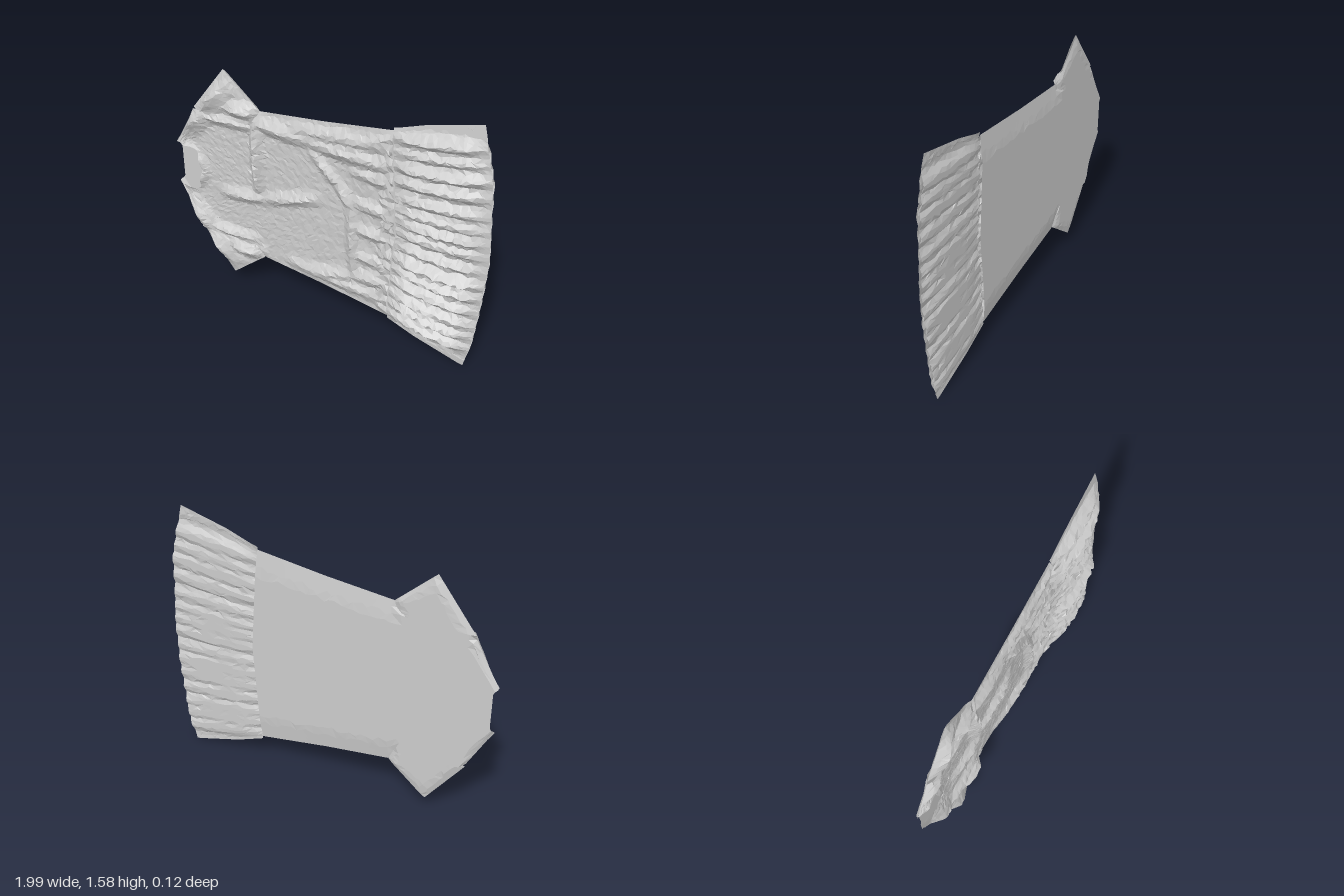
import * as THREE from 'three';

const RIM = -0.038, FLAT = -0.035, BACK = -0.055;
const flip = (y) => 1.58 - y; // the garment mirrors about its lengthwise midline

// Fold lines of the cloth: height, half width, then the points they run through
const centreFolds = [
  [0.06, 0.05, [-0.43, 1.2], [-0.42, 0.78]],
  [0.04, 0.055, [-0.66, 0.68], [-0.38, 0.72], [-0.05, 0.83]],
  [0.037, 0.045, [-0.06, 1.13], [0.1, 0.97], [0.18, 0.85], [0.2, 0.4]],
  [0.04, 0.06, [-0.1, 0.3], [0.2, 0.38], [0.46, 0.42]],
  [0.045, 0.065, [-0.44, 1.22], [-0.1, 1.2], [0.42, 1.18]],
  [0.03, 0.04, [0.1, 1.22], [0.42, 1.37]]
];
const mirroredFolds = [
  [0.035, 0.06, [-0.2, 1.25], [0.42, 1.3]], // side seam
  [0.04, 0.05, [-0.88, 1.17], [-0.46, 1.18]], // sleeve seam
  [0.033, 0.045, [-0.95, 0.94], [-0.84, 0.89], [-0.79, 0.79]], // neckband
  [0.055, 0.09, [-0.9, 1.06], [-0.76, 1.2]], // shoulder
  [0.062, 0.12, [-0.8, 1.22], [-0.63, 1.38]], // sleeve puff
  [0.06, 0.07, [-0.62, 1.27], [-0.43, 1.27]] // underarm
];
// Gathers of the ruffle: start at the waist, height
const gathers = [
  [1.37, 0.06], [1.29, 0.055], [1.21, 0.085], [1.12, 0.07], [1.02, 0.06], [0.94, 0.06], [0.87, 0.07],
  [0.8, 0.065], [0.71, 0.06], [0.63, 0.1], [0.55, 0.085], [0.46, 0.07], [0.37, 0.075], [0.3, 0.08], [0.22, 0.07]
];

const ruffleFolds = gathers.map(([y, h]) => [h, 0.065, [0.42, y], [0.98, 0.79 + (y - 0.79) * 1.15]]);
const crossFolds = [0.53, 0.71, 0.88, 1.08].map((y) => [0.035, 0.05, [0.2, y + 0.01], [0.46, y]]);
// Short puckers on the waist seam
const puckers = Array.from({ length: 22 }, (_, i) => {
  const y = 0.24 + i * 0.051;
  return [0.035 + (i % 2) * 0.012, 0.02, [0.36, y], [0.54, y + (i % 3 - 1) * 0.02]];
});
const folds = [
  ...centreFolds, ...mirroredFolds,
  ...mirroredFolds.map(([h, w, ...pts]) => [h, w, ...pts.map(([x, y]) => [x, flip(y)])]),
  ...ruffleFolds, ...crossFolds, ...puckers
];

function hash(a, b) {
  const s = Math.sin(a * 127.1 + b * 311.7) * 43758.5453;
  return s - Math.floor(s) - 0.5;
}

// Tallest tent-shaped fold over a point
function foldHeight(x, y, list) {
  let best = 0;
  for (const [h, w, ...pts] of list) for (let i = 1; i < pts.length; i++) {
    const [x0, y0] = pts[i - 1], dx = pts[i][0] - x0, dy = pts[i][1] - y0;
    const t = THREE.MathUtils.clamp(((x - x0) * dx + (y - y0) * dy) / (dx * dx + dy * dy), 0, 1);
    const d = Math.hypot(x - x0 - t * dx, y - y0 - t * dy);
    best = Math.max(best, h * (1 - 0.5 * (2 * t - 1) ** 2) * (1 - d / w));
  }
  return best;
}

// Piecewise linear lookup through [position, value] points
function along(points) {
  return (p) => {
    let i = 1;
    while (i < points.length - 1 && p > points[i][0]) i++;
    const [a, va] = points[i - 1], [b, vb] = points[i];
    return va + (vb - va) * THREE.MathUtils.clamp((p - a) / (b - a), 0, 1);
  };
}

// Panel from a left to a right edge, its upper outline mirroring the lower
const between = (left, right, lower) => (u, v) => {
  const x = THREE.MathUtils.lerp(left(v), right(v), u), y = lower(x);
  return [x, THREE.MathUtils.lerp(y, flip(y), v)];
};
const quad = (a, b, c, d) => (u, v) => [0, 1].map((k) =>
  (a[k] * (1 - u) + b[k] * u) * (1 - v) + (c[k] * (1 - u) + d[k] * u) * v);

const material = new THREE.MeshStandardMaterial({ color: 0xcccccc, flatShading: true, side: THREE.DoubleSide });

// Faceted sheet of cloth, slightly shuffled so the facets look crumpled
function panel(name, nu, nv, place, depth, back = false) {
  const pos = [], index = [];
  for (let j = 0; j <= nv; j++) for (let i = 0; i <= nu; i++) {
    const inner = i > 0 && j > 0 && i < nu && j < nv ? 1 : 0;
    const u = (i + inner * 0.7 * hash(i, j)) / nu, v = (j + inner * 0.7 * hash(j + 50, i)) / nv;
    const [x, y] = place(u, v);
    pos.push(x, y, depth(x, y, u, v) + (back ? 0 : inner * 0.005 * hash(i + 9, j + 31)));
    if (i < nu && j < nv) {
      const a = j * (nu + 1) + i, b = a + 1, c = a + nu + 1, d = c + 1;
      const tris = hash(i + 3, j + 7) > 0 ? [a, b, d, a, d, c] : [a, b, c, b, d, c];
      index.push(...(back ? tris.reverse() : tris));
    }
  }
  const geometry = new THREE.BufferGeometry();
  geometry.setAttribute('position', new THREE.Float32BufferAttribute(pos, 3));
  geometry.setIndex(index);
  geometry.computeVertexNormals();
  const mesh = new THREE.Mesh(geometry, material);
  mesh.name = name;
  return mesh;
}

// Front swells up from the rim, back lies flat with a turned-up edge
const front = (edge) => (x, y, u, v) =>
  THREE.MathUtils.lerp(RIM, FLAT + foldHeight(x, y, folds), Math.min(1, edge(x, u, v)));
const rear = (edge) => (x, y, u, v) =>
  THREE.MathUtils.lerp(RIM, BACK, Math.min(1, edge(x, u, v)));

export function createModel() {
  const dress = new THREE.Group();
  dress.name = 'dress';

  // Bodice, with a scooped neck in front
  const side = along([[-0.99, 0.65], [-0.84, 0.375], [-0.47, 0.36], [-0.4, 0.285], [0, 0.235], [0.42, 0.17]]);
  const neck = along([[0, -0.99], [0.2, -0.94], [0.33, -0.84], [0.5, -0.81], [0.65, -0.84], [0.79, -0.94], [1, -0.99]]);
  const nape = along([[0, -0.995], [0.2, -0.97], [0.8, -0.97], [1, -0.995]]);
  const waist = along([[0, 0.425], [0.5, 0.46], [1, 0.41]]);
  const bodyEdge = (slope) => (x, u, v) =>
    x > -0.85 && x < -0.44 ? 1 : Math.min(v, 1 - v) * slope;
  dress.add(panel('bodiceFront', 64, 46, between(neck, waist, side), front(bodyEdge(22))));
  dress.add(panel('bodiceBack', 40, 24, between(nape, waist, side), rear(bodyEdge(9)), true));

  // Sleeves, running from the lower edge of each to the upper
  const seam = [[-0.85, 1.2], [-0.42, 1.2]], cuff = [[-0.63, 1.495], [-0.4, 1.295]];
  const mirrored = (pts) => pts.map(([x, y]) => [x, flip(y)]);
  const sleeves = [
    ['left', quad(...seam, ...cuff), (v) => 1 - v],
    ['right', quad(...mirrored(cuff), ...mirrored(seam)), (v) => v]
  ];
  for (const [name, place, fromCuff] of sleeves) {
    const sleeveEdge = (x, u, v) => Math.min(u * 8, (1 - u) * 8, 0.35 + fromCuff(v) * 4);
    dress.add(panel(name + 'SleeveFront', 14, 12, place, front(sleeveEdge)));
    dress.add(panel(name + 'SleeveBack', 10, 8, place, rear(sleeveEdge), true));
  }

  // Gathered ruffle at the hem
  const flare = along([[0.42, 0.155], [0.6, 0.085], [0.9, 0]]);
  const hem = along([[0, 0.91], [0.1, 0.945], [0.25, 0.97], [0.48, 0.995], [0.8, 0.965], [1, 0.89]]);
  const ruffle = between(waist, hem, flare);
  const ruffleEdge = (x, u, v) => Math.min(v * 20, (1 - v) * 20, 0.3 + (1 - u) * 3.5, 0.5 + u * 3);
  dress.add(panel('ruffleFront', 22, 70, ruffle, front(ruffleEdge)));
  dress.add(panel('ruffleBack', 14, 70, ruffle, (x, y, u, v) => {
    const dent = Math.max(0, 0.035 - foldHeight(x, y + 0.03, ruffleFolds)) * 0.7;
    const pinch = 0.012 * Math.max(0, 1 - u * 4);
    return THREE.MathUtils.lerp(RIM, BACK + dent + pinch, Math.min(1, v * 20, (1 - v) * 20));
  }, true));

  return dress;
}
